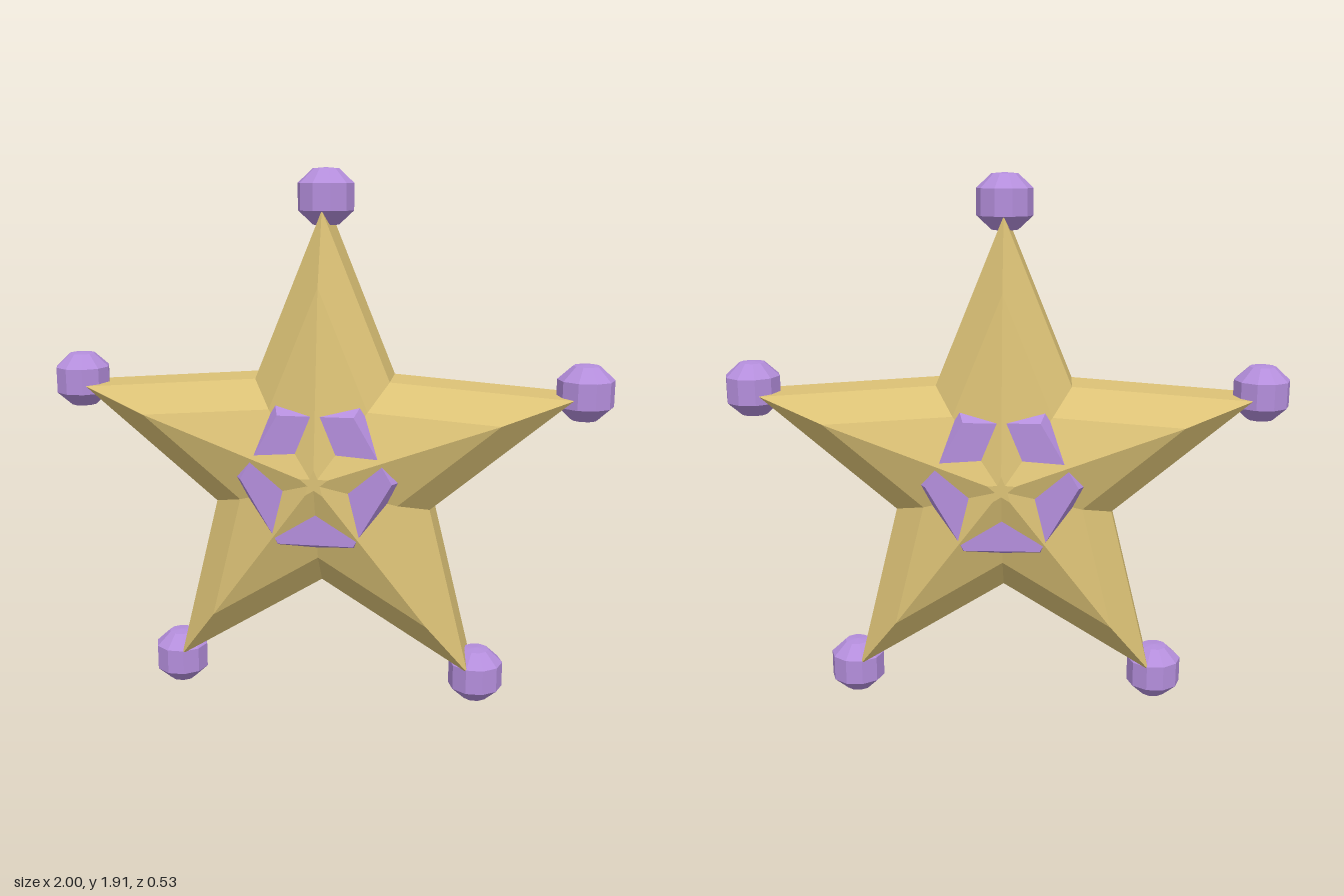
import * as THREE from 'three';

const CENTER_Y = 0.877;

// Faceted five-pointed body: the same star outline, scaled at each depth level
function starBodyGeometry() {
  const levels = [[-0.267, 0.05], [-0.178, 0.655], [-0.089, 0.905], [0.089, 0.905], [0.178, 0.655], [0.267, 0.05]];
  const point = (level, i) => {
    const a = Math.PI / 2 + (i * Math.PI) / 5;
    const r = level[1] * (i % 2 ? 0.445 : 1);
    return [r * Math.cos(a), r * Math.sin(a), level[0]];
  };
  const pos = [];
  const tri = (...corners) => corners.forEach((c) => pos.push(...c));
  const back = levels[0], front = levels[levels.length - 1];
  for (let i = 0; i < 10; i++) {
    for (let k = 0; k < levels.length - 1; k++) {
      const a = point(levels[k], i), b = point(levels[k], i + 1);
      const c = point(levels[k + 1], i + 1), d = point(levels[k + 1], i);
      tri(a, b, c);
      tri(a, c, d);
    }
    tri([0, 0, front[0]], point(front, i), point(front, i + 1));
    tri([0, 0, back[0]], point(back, i + 1), point(back, i));
  }
  const g = new THREE.BufferGeometry();
  g.setAttribute('position', new THREE.Float32BufferAttribute(pos, 3));
  g.computeVertexNormals();
  return g;
}

// Flat-topped faceted ball for the arm tips
function tipBallGeometry() {
  const profile = [[0, -0.098], [0.046, -0.094], [0.098, -0.046], [0.098, 0.046], [0.046, 0.094], [0, 0.098]];
  const g = new THREE.LatheGeometry(profile.map(([x, y]) => new THREE.Vector2(x, y)), 10, Math.PI / 2).toNonIndexed();
  g.computeVertexNormals();
  return g;
}

export function createModel() {
  const gold = new THREE.MeshStandardMaterial({ color: 0xdcc276 });
  gold.name = 'gold';
  gold.flatShading = true;
  const purple = new THREE.MeshStandardMaterial({ color: 0xb48edc });
  purple.name = 'purple';
  purple.flatShading = true;

  const model = new THREE.Group();
  model.name = 'starOrnament';
  const add = (name, geometry, material, x, y) => {
    const mesh = new THREE.Mesh(geometry, material);
    mesh.name = name;
    mesh.position.set(x, y, 0);
    model.add(mesh);
  };

  add('starBody', starBodyGeometry(), gold, 0, CENTER_Y);

  // Hexagonal gem, showing only in the valleys between the ridges on both faces
  const frontGem = new THREE.CylinderGeometry(0.263, 0.3, 0.065, 6)
    .rotateX(Math.PI / 2).rotateZ(Math.PI / 6).translate(0, 0, 0.2025);
  // Put two hexagon corners on the horizontal axis
  const pos = frontGem.attributes.position;
  let onAxis = false;
  for (let i = 0; i < pos.count; i++) {
    if (Math.abs(pos.getY(i)) < 1e-4 && Math.abs(pos.getX(i)) > 0.2) onAxis = true;
  }
  if (!onAxis) frontGem.rotateZ(Math.PI / 6);
  add('frontGem', frontGem, purple, 0, CENTER_Y);
  add('backGem', frontGem.clone().rotateY(Math.PI), purple, 0, CENTER_Y);

  // A ball on each arm tip
  const ball = tipBallGeometry();
  for (let i = 0; i < 5; i++) {
    const a = Math.PI / 2 + (i * Math.PI * 2) / 5;
    add('tipBall', ball, purple, 0.949 * Math.cos(a), CENTER_Y + 0.949 * Math.sin(a));
  }
  return model;
}
